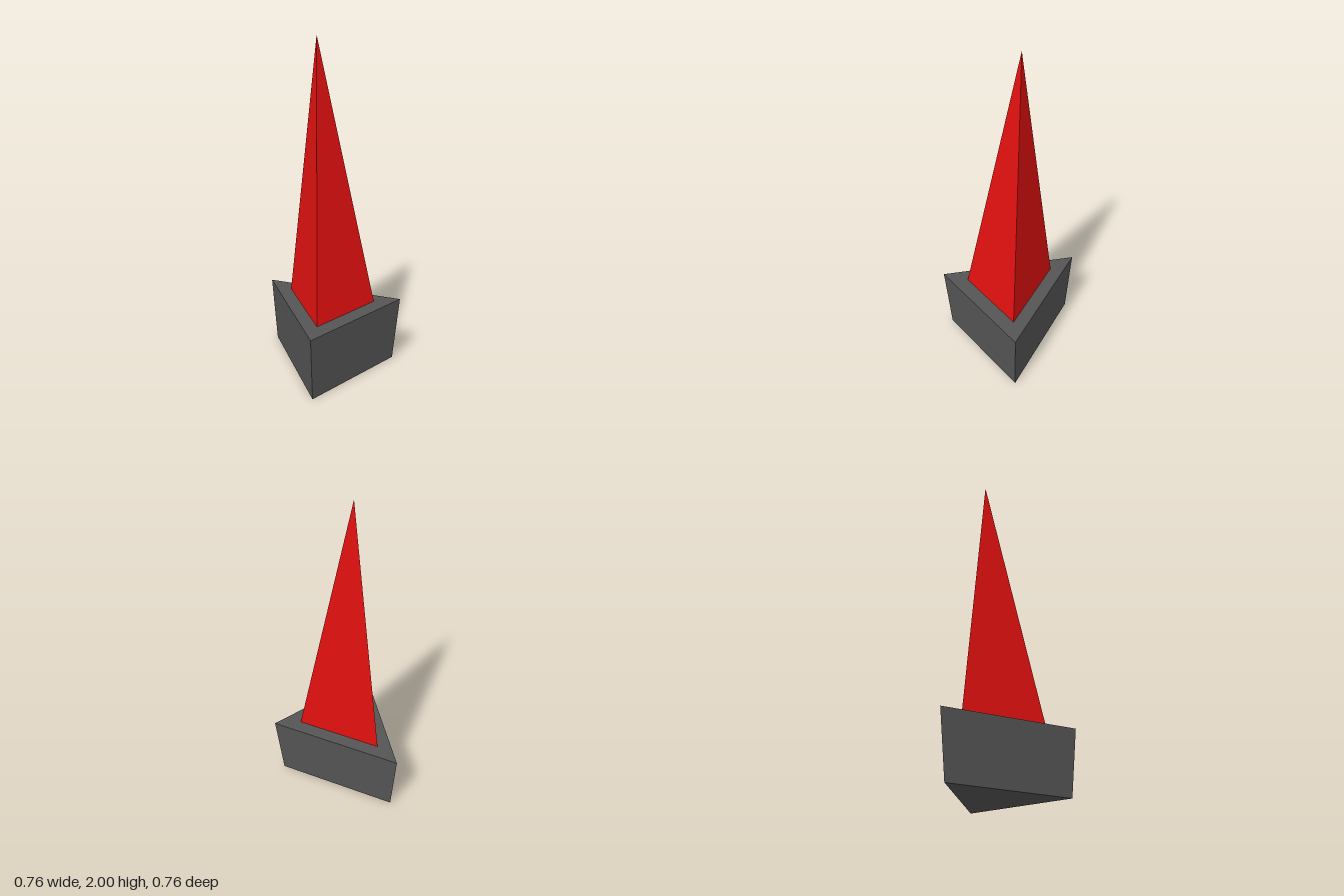
import * as THREE from 'three';

const red = new THREE.MeshStandardMaterial({ color: 0xe01010 });
red.name = 'red';
const grey = new THREE.MeshStandardMaterial({ color: 0x555555 });
grey.name = 'dark grey';

// Triangle at height y: front edge at zFront, single corner at zBack,
// counter-clockwise when seen from above
function triangle(halfWidth, y, zFront, zBack) {
  return [[-halfWidth, y, zFront], [halfWidth, y, zFront], [0, y, zBack]];
}

// Flat-faced solid from a bottom triangle to a top triangle or a single apex
function solid(name, bottom, top, material) {
  const faces = [bottom[2], bottom[1], bottom[0]];
  const pointed = top.length === 1;
  for (let i = 0; i < 3; i++) {
    const j = (i + 1) % 3;
    if (pointed) faces.push(bottom[i], bottom[j], top[0]);
    else faces.push(bottom[i], bottom[j], top[j], bottom[i], top[j], top[i]);
  }
  if (!pointed) faces.push(...top);
  const geometry = new THREE.BufferGeometry();
  geometry.setAttribute('position', new THREE.Float32BufferAttribute(faces.flat(), 3));
  geometry.computeVertexNormals();
  const mesh = new THREE.Mesh(geometry, material);
  mesh.name = name;
  return mesh;
}

export function createModel() {
  const group = new THREE.Group();
  group.name = 'spikeOnBase';

  // Triangular base, slightly wider at the top
  group.add(solid('base',
    triangle(0.347, 0, 0.361, -0.334),
    triangle(0.38, 0.397, 0.38, -0.382), grey));

  // Tall three-sided spike
  group.add(solid('spike',
    triangle(0.242, 0.397, 0.288, -0.197),
    [[0, 2, 0.031]], red));

  return group;
}
